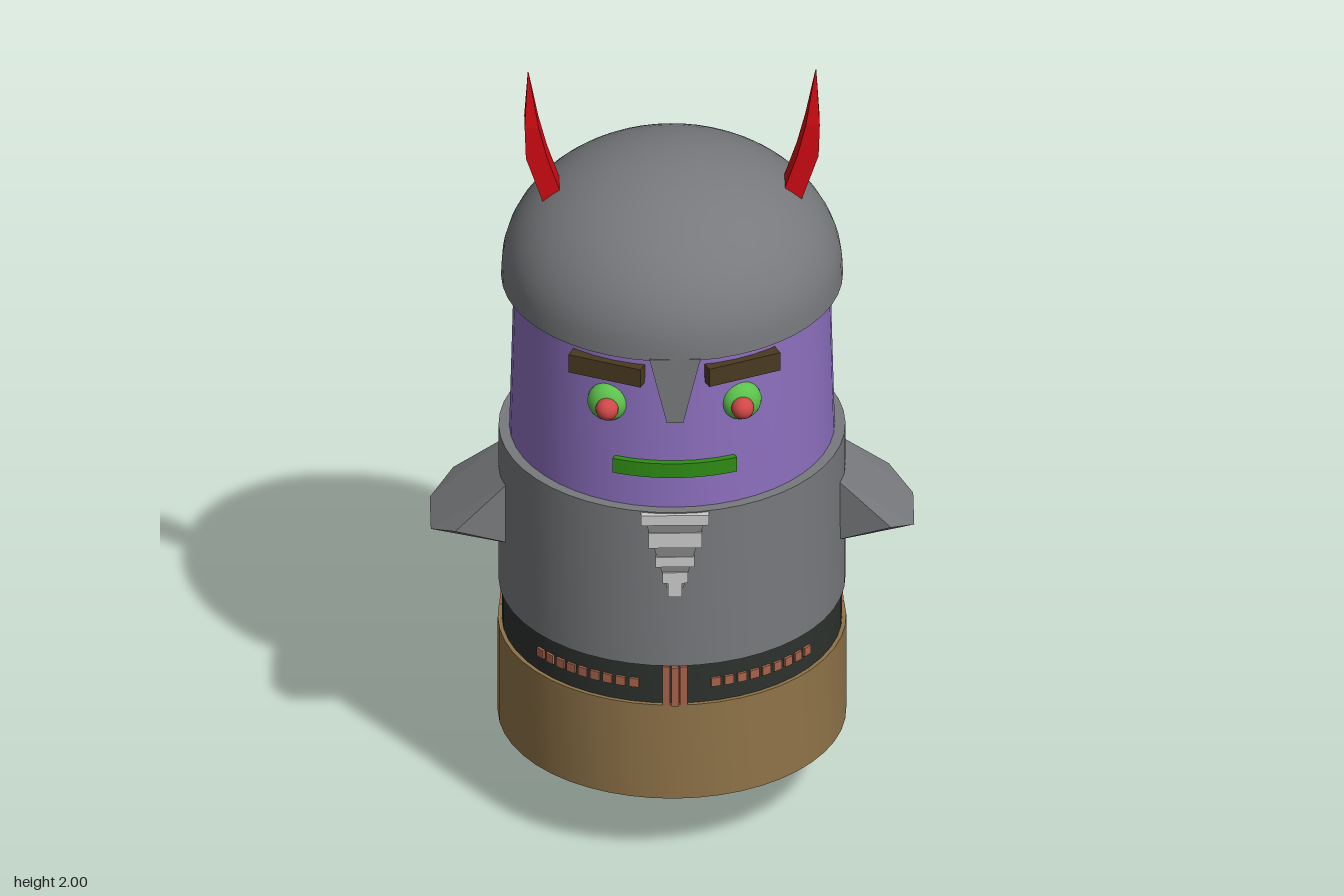
import * as THREE from 'three';
import { toCreasedNormals } from 'three/addons/utils/BufferGeometryUtils.js';
import { ConvexGeometry } from 'three/addons/geometries/ConvexGeometry.js';

const SEG = 48;
const mat = (color, flatShading = false) => new THREE.MeshStandardMaterial({ color, flatShading });
const steel = mat(0x77797c), steelFlat = mat(0x77797c, true), skin = mat(0x8c6fbe), tan = mat(0x8f7348);
const beltMat = mat(0x2c322e), copper = mat(0xa8634a), red = mat(0xcc0a12, true), brown = mat(0x4a3a20);
const eyeGreen = mat(0x5cc24c), pupilRed = mat(0xd04848), mouthGreen = mat(0x2f8c14);
const pale = mat(0xcccccc), midGrey = mat(0x858585);

const v2 = (x, y) => new THREE.Vector2(x, y);
const v3 = (x, y, z) => new THREE.Vector3(x, y, z);

// Sharp-edged solid of revolution from [radius, y] points, listed bottom to top on the outside
function lathe(points) {
  return toCreasedNormals(new THREE.LatheGeometry(points.map(p => v2(...p)), SEG), 0.6);
}
function tube(ri, ro, y0, y1) {
  return lathe([[ri, y0], [ro, y0], [ro, y1], [ri, y1], [ri, y0]]);
}
// Curved band around the body; angles are measured from the front towards +x
function band(ri, ro, a0, a1, y, h) {
  const s = new THREE.Shape();
  const b0 = a0 - Math.PI / 2, b1 = a1 - Math.PI / 2;
  s.absarc(0, 0, ro, b0, b1, false);
  s.absarc(0, 0, ri, b1, b0, true);
  const g = new THREE.ExtrudeGeometry(s, { depth: h, bevelEnabled: false, curveSegments: 8 });
  return g.rotateX(-Math.PI / 2).translate(0, y, 0);
}
function plate(points, depth) {
  return new THREE.ExtrudeGeometry(new THREE.Shape(points.map(p => v2(...p))), { depth, bevelEnabled: false });
}
// Four-sided horn from [x, y, half width, half depth] sections, closed at both ends
function hornGeometry(side) {
  const sections = [[0.285, 1.64, 0.026, 0.033], [0.33, 1.775, 0.026, 0.033],
    [0.342, 1.86, 0.017, 0.03], [0.35, 2.0, 0.001, 0.001]];
  const pos = [], idx = [];
  for (const [x, y, w, d] of sections)
    for (const [sx, sz] of [[-1, 1], [1, 1], [1, -1], [-1, -1]]) pos.push(side * (x + sx * w), y, sz * d);
  const quad = (a, b, c, d) => (side > 0 ? idx.push(a, b, c, a, c, d) : idx.push(a, c, b, a, d, c));
  for (let i = 0; i < sections.length - 1; i++)
    for (let j = 0; j < 4; j++) {
      const k = (j + 1) % 4;
      quad(i * 4 + j, i * 4 + k, i * 4 + 4 + k, i * 4 + 4 + j);
    }
  quad(3, 2, 1, 0);
  quad(12, 13, 14, 15);
  const g = new THREE.BufferGeometry();
  g.setAttribute('position', new THREE.Float32BufferAttribute(pos, 3));
  g.setIndex(idx);
  g.computeVertexNormals();
  return g;
}

export function createModel() {
  const root = new THREE.Group();
  root.name = 'hornedFigure';
  root.position.z = -0.006;
  function add(name, geometry, material, parent = root) {
    const m = new THREE.Mesh(geometry, material);
    m.name = name;
    parent.add(m);
    return m;
  }

  // Rounded base inside the open trouser ring
  const base = [];
  for (let i = 0; i <= 16; i++) {
    const a = (i / 16) * Math.PI / 2;
    base.push([0.39 * Math.sin(a), 0.395 - 0.39 * Math.cos(a)]);
  }
  add('roundedBase', lathe(base), tan);
  add('trousers', tube(0.39, 0.424, 0.19, 0.455), tan);

  // Body, jacket and belt
  add('head', lathe([[0.396, 0.4], [0.396, 1.0], [0.384, 1.46], [0, 1.46]]), skin);
  add('jacket', tube(0.39, 0.422, 0.565, 1.0), steel);
  add('belt', tube(0.39, 0.414, 0.455, 0.565), beltMat);

  // Belt fittings, front and back
  const fittings = new THREE.Group();
  fittings.name = 'beltFittings';
  root.add(fittings);
  for (const face of [0, Math.PI]) {
    for (const a of [-0.05, 0, 0.05])
      add('buckleBar', band(0.405, a ? 0.426 : 0.431, face + a - 0.021, face + a + 0.021, 0.456, 0.108), copper, fittings);
    const start = face ? 0.12 : 0.2, end = face ? 0.76 : 0.93, step = (end - start) / 9;
    for (const s of [-1, 1])
      for (let i = 0; i < 9; i++) {
        const a = face + s * (start + (i + 0.5) * step);
        add('beltStud', band(0.405, 0.42, a - step * 0.35, a + step * 0.35, 0.498, 0.024), copper, fittings);
      }
  }

  // Helmet: dome with a thick rim and a nose guard
  const dome = [[0.386, 1.425], [0.416, 1.425], [0.415, 1.45]];
  for (let i = 1; i <= 18; i++) {
    const a = (i / 18) * Math.PI / 2;
    dome.push([0.415 * Math.cos(a), 1.45 + 0.315 * Math.sin(a)]);
  }
  add('helmet', lathe(dome), steel);
  add('noseGuard', plate([[-0.062, 1.43], [-0.02, 1.25], [0.02, 1.25], [0.062, 1.43]], 0.04), steel).position.z = 0.375;

  // Mouth
  add('mouth', band(0.375, 0.408, -0.38, 0.38, 1.09, 0.04), mouthGreen);

  // Mirrored parts
  for (const s of [1, -1]) {
    const side = s > 0 ? 'left' : 'right';
    add(side + 'Horn', hornGeometry(s), red);

    const eye = new THREE.Group();
    eye.name = side + 'Eye';
    eye.position.set(s * 0.163, 1.275, 0.35);
    eye.rotation.y = s * 0.3;
    root.add(eye);
    add('eyeball', new THREE.SphereGeometry(0.05, 24, 16).scale(1, 1, 0.75), eyeGreen, eye);
    add('pupil', new THREE.SphereGeometry(0.028, 20, 14), pupilRed, eye).position.set(-s * 0.009, 0, 0.036);

    const brow = add(side + 'Brow', new THREE.BoxGeometry(0.19, 0.05, 0.035), brown);
    brow.position.set(s * 0.164, 1.37, 0.35);
    brow.rotation.y = s * 0.41;

    // Stubby wedge arm
    const corners = [];
    for (const z of [1, -1])
      corners.push(v3(s * 0.395, 0.905, z * 0.108), v3(s * 0.53, 0.79, z * 0.152),
        v3(s * 0.588, 0.752, z * 0.075), v3(s * 0.38, 0.72, z * 0.1));
    add(side + 'Arm', new ConvexGeometry(corners), steelFlat);

    // Triangular belt tab
    const tab = add(side + 'BeltTab', plate([[-0.045, 0.456], [0.045, 0.456], [0, 0.562]], 0.018), copper);
    const a = s * 1.82;
    tab.position.set(Math.sin(a) * 0.403, 0, Math.cos(a) * 0.403);
    tab.rotation.y = a;
  }

  // Stepped neck ornament
  add('neckPanel', plate([[-0.075, 0.99], [-0.02, 0.79], [0.02, 0.79], [0.075, 0.99]], 0.022), midGrey).position.z = 0.405;
  for (const [y, h, w] of [[0.983, 0.028, 0.165], [0.926, 0.042, 0.13], [0.865, 0.028, 0.095],
    [0.82, 0.03, 0.062], [0.785, 0.038, 0.034]])
    add('neckStep', new THREE.BoxGeometry(w, h, 0.03), pale).position.set(0, y, 0.416);

  return root;
}
